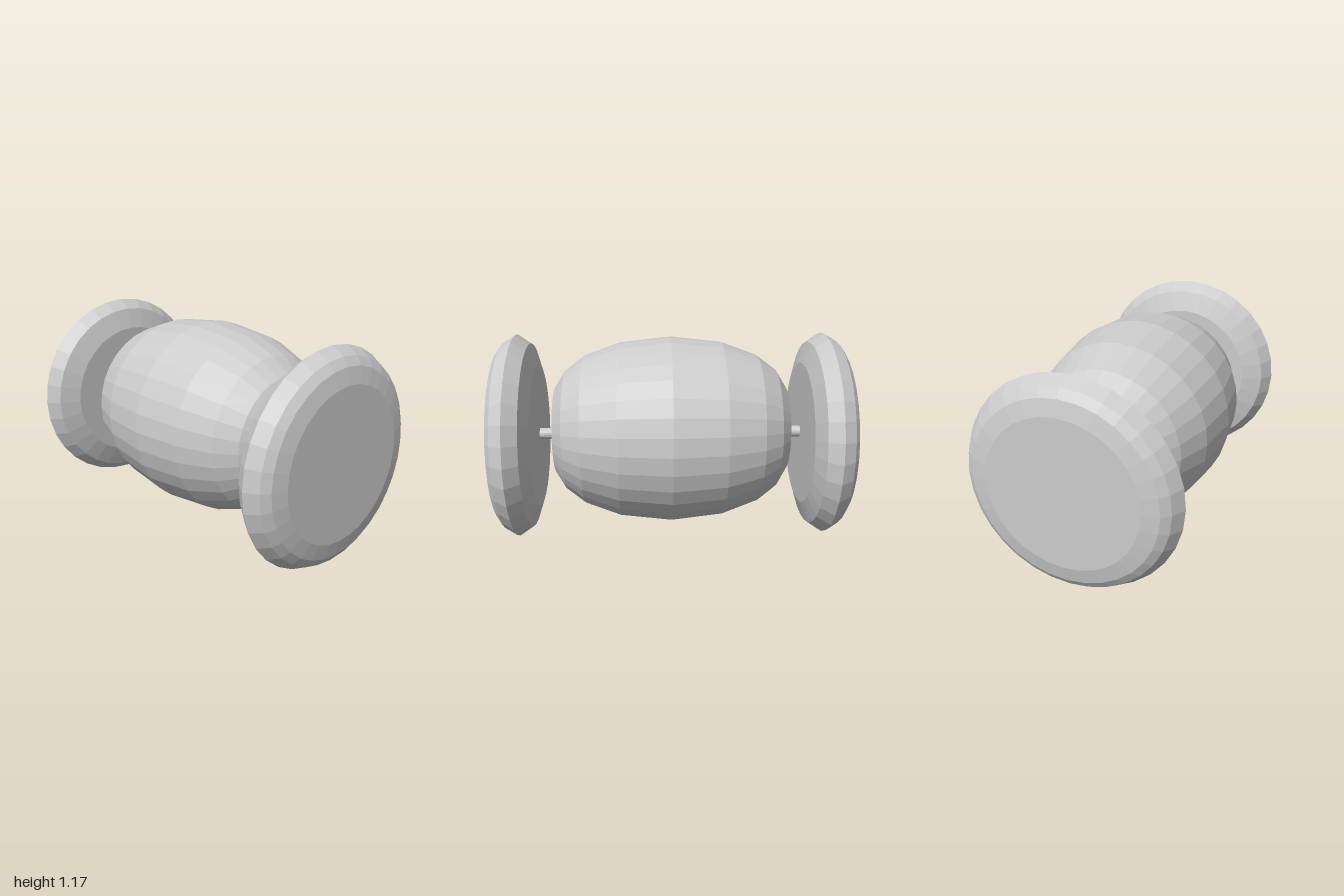
import * as THREE from 'three';

const SEGMENTS = 32;

export function createModel() {
  const group = new THREE.Group();
  const material = new THREE.MeshStandardMaterial({ color: 0xcccccc, flatShading: true });

  // Revolves [radius, z] points (back to front) around the z axis
  function addTurned(name, profile, y, segments = SEGMENTS) {
    const points = profile.map(([r, z]) => new THREE.Vector2(r, z));
    const geometry = new THREE.LatheGeometry(points, segments);
    geometry.rotateX(Math.PI / 2);
    const mesh = new THREE.Mesh(geometry, material);
    mesh.name = name;
    mesh.position.y = y;
    group.add(mesh);
    return mesh;
  }

  // Barrel body: half profile mirrored front to back
  const half = [[0.505, 0.295], [0.43, 0.5], [0.348, 0.607], [0.253, 0.667], [0, 0.667]];
  const back = half.map(([r, z]) => [r, -z]).reverse();
  addTurned('barrel', [...back, [0.538, 0], ...half], 0.62);

  // Thin axle joining the two wheels
  addTurned('axle', [[0, -0.8], [0.033, -0.8], [0.033, 0.8], [0, 0.8]], 0.595, 16);

  // Wheels: rounded discs with flat faces, turned to face outwards
  const wheel = [
    [0, 0.766], [0.415, 0.766], [0.535, 0.805], [0.587, 0.88],
    [0.545, 0.95], [0.5, 0.981], [0.413, 1], [0, 1],
  ];
  addTurned('frontWheel', wheel, 0.588);
  addTurned('backWheel', wheel, 0.588).rotation.y = Math.PI;

  return group;
}
